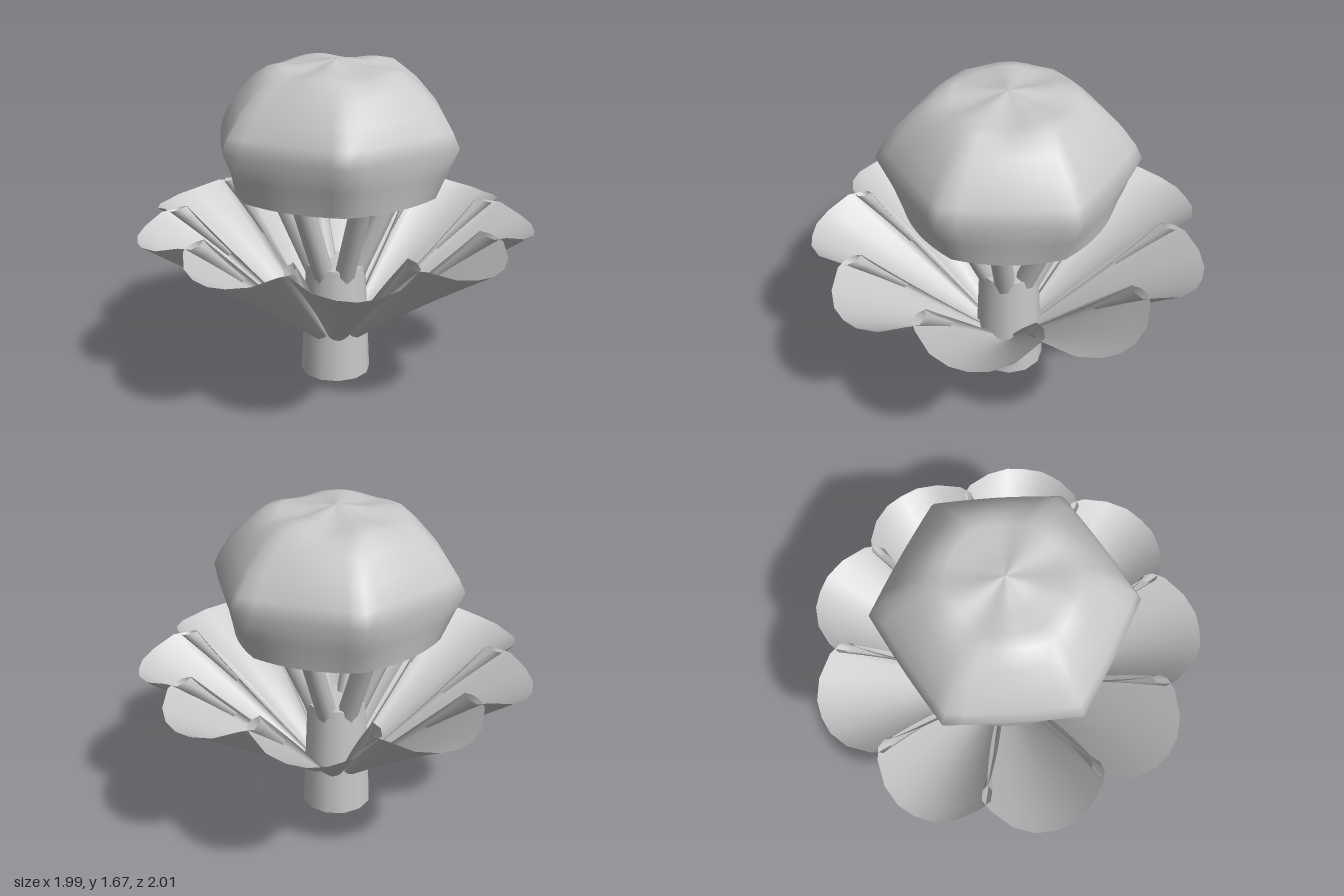
import * as THREE from 'three';

const CX = 0.022;

// Smooth grid surface from point(i, j); wrap closes the j direction
function gridSurface(rows, cols, point, wrap = false) {
  const pos = [], idx = [], n = wrap ? cols : cols + 1;
  for (let i = 0; i <= rows; i++)
    for (let j = 0; j < n; j++) pos.push(...point(i, j));
  for (let i = 0; i < rows; i++)
    for (let j = 0; j < cols; j++) {
      const a = i * n + j, b = i * n + (j + 1) % n, c = a + n, d = b + n;
      idx.push(a, c, b, b, c, d);
    }
  const g = new THREE.BufferGeometry();
  g.setAttribute('position', new THREE.Float32BufferAttribute(pos, 3));
  g.setIndex(idx);
  g.computeVertexNormals();
  return g;
}

// Cupped petal running out along +x, edges curled up and inward
function petalGeometry() {
  // half cross-section: sideways, depth, pull-back at the rim
  const half = [[0, 0, 0], [0.3, 0.06, 0.005], [0.62, 0.19, 0.04], [0.9, 0.4, 0.1],
    [0.99, 0.56, 0.15], [0.95, 0.68, 0.18], [0.83, 0.7, 0.19]];
  const last = half.length - 1, rows = 10;
  return gridSurface(rows, last * 2, (i, j) => {
    const s = i / rows, k = j - last;
    const [side, depth, back] = half[Math.abs(k)];
    const r = 0.15 + 0.865 * s;
    const w = 0.31 * r;
    const pleat = 0.012 * s * s * Math.cos(k * 2.1) * (k ? 1 : 0);
    const n = depth * w + pleat, along = -back * s * s;
    return [r - 0.56 * n + 0.83 * along,
      0.21 + 0.59 * s + 0.015 * Math.sin(s * Math.PI) + 0.83 * n + 0.56 * along,
      -Math.sign(k) * side * w];
  });
}

// Six-sided rounded flower head: height, radius, how hexagonal
function headGeometry() {
  const rings = [[1.02, 0.54, 0.35], [1.15, 0.595, 0.7], [1.285, 0.655, 0.9], [1.36, 0.62, 0.85],
    [1.46, 0.55, 0.7], [1.56, 0.45, 0.6], [1.62, 0.36, 0.4], [1.636, 0.28, 0.2],
    [1.635, 0.18, 0], [1.655, 0.09, 0], [1.668, 0.001, 0]];
  return gridSurface(rings.length - 1, 48, (i, j) => {
    const [y, r, hex] = rings[i], a = j / 48 * Math.PI * 2;
    const m = a % (Math.PI / 3) - Math.PI / 6;
    const edge = Math.cos(Math.PI / 6) / Math.cos(m);
    const q = r * (1 - hex + hex * edge);
    const bump = i > 5 && i < 10 ? 0.012 * Math.sin(5 * a + 1) * Math.min(1, r * 4) : 0;
    return [q * Math.cos(a), y + bump, q * Math.sin(a)];
  }, true);
}

export function createModel() {
  const model = new THREE.Group();
  const grey = new THREE.MeshStandardMaterial({ color: 0xc8c8c8, side: THREE.DoubleSide });
  grey.name = 'plain grey';
  const add = (name, geometry) => {
    const mesh = new THREE.Mesh(geometry, grey);
    mesh.name = name;
    mesh.position.x = CX;
    model.add(mesh);
    return mesh;
  };

  // Stem rising through the middle of the petals
  add('stem', new THREE.CylinderGeometry(0.155, 0.182, 0.6, 12).translate(0, 0.3, 0));

  // Ring of nine petals
  const petal = petalGeometry();
  for (let i = 0; i < 9; i++)
    add('petal', petal).rotation.y = -(Math.PI + i * Math.PI * 2 / 9);

  // Six stamens spreading from the stem into the head
  const at = (a, r, y) => new THREE.Vector3(r * Math.cos(a), y, r * Math.sin(a));
  for (let i = 0; i < 6; i++) {
    const a = THREE.MathUtils.degToRad(100 + i * 60);
    const path = new THREE.LineCurve3(at(a, 0.09, 0.52), at(a, 0.35, 1.12));
    add('stamen', new THREE.TubeGeometry(path, 2, 0.055, 8));
  }

  // Flower head with a flat underside
  const head = headGeometry();
  add('flowerHead', head);
  const rim = [];
  const p = head.attributes.position;
  for (let j = 0; j < 48; j++) rim.push(new THREE.Vector2(p.getX(j), p.getZ(j)));
  add('headUnderside', new THREE.ShapeGeometry(new THREE.Shape(rim)).rotateX(Math.PI / 2).translate(0, 1.02, 0));

  return model;
}
